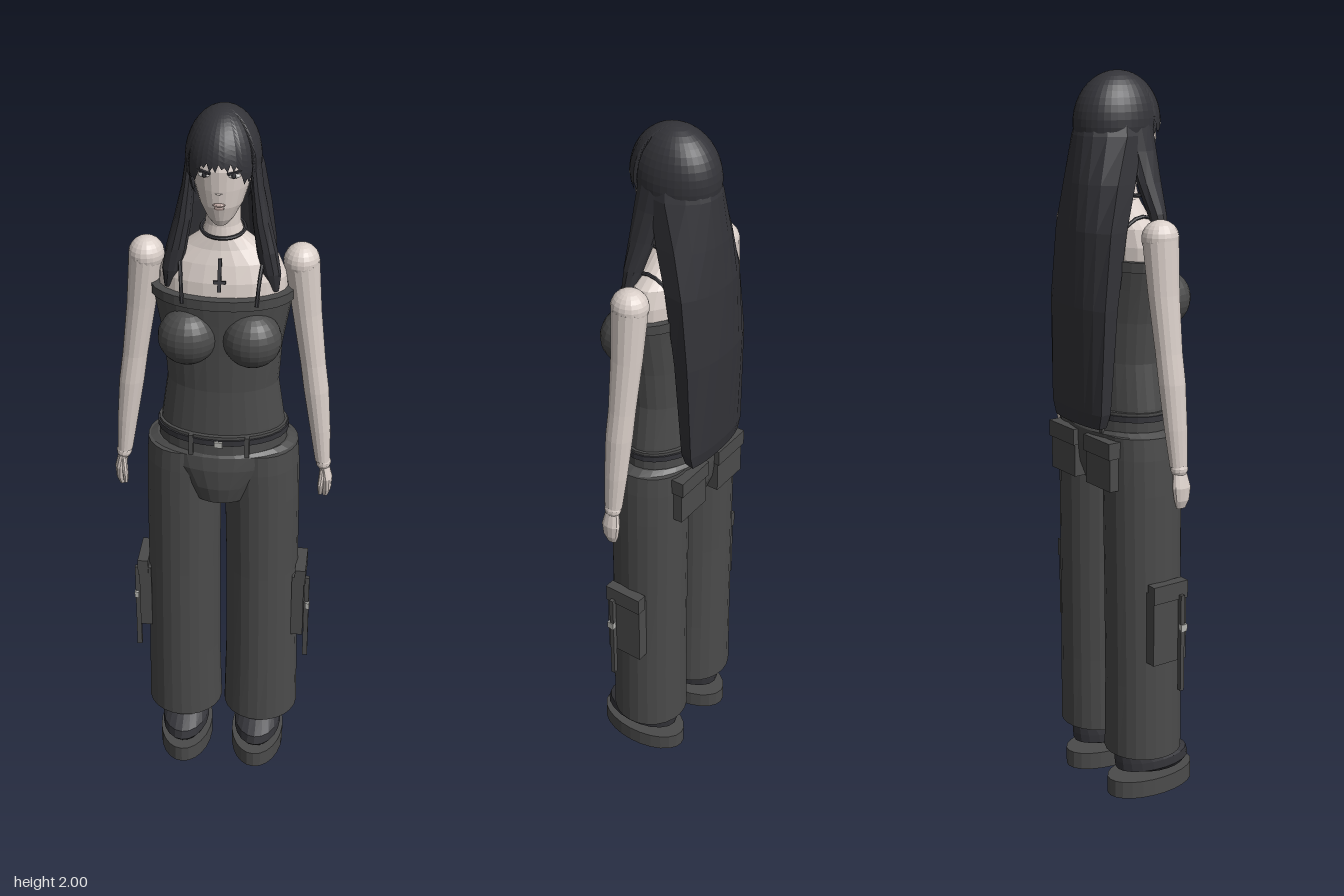
import * as THREE from 'three';

const mat = (name, color, extra = {}) => {
  const m = new THREE.MeshStandardMaterial({ color, flatShading: true, ...extra });
  m.name = name;
  return m;
};

// Joins cross-sections (equal point counts, bottom to top) into a capped solid
function skin(sections) {
  const n = sections[0].length, pos = [], idx = [];
  sections.forEach(s => s.forEach(p => pos.push(...p)));
  for (let r = 0; r < sections.length - 1; r++) {
    for (let i = 0; i < n; i++) {
      const a = r * n + i, b = r * n + (i + 1) % n;
      idx.push(a, a + n, b, b, a + n, b + n);
    }
  }
  [0, sections.length - 1].forEach((r, top) => {
    const c = pos.length / 3;
    pos.push(...[0, 1, 2].map(k => sections[r].reduce((t, p) => t + p[k], 0) / n));
    for (let i = 0; i < n; i++) {
      const a = r * n + i, b = r * n + (i + 1) % n;
      idx.push(c, top ? b : a, top ? a : b);
    }
  });
  const g = new THREE.BufferGeometry();
  g.setAttribute('position', new THREE.Float32BufferAttribute(pos, 3));
  g.setIndex(idx);
  g.computeVertexNormals();
  return g;
}

// Elliptical rings [y, centreX, centreZ, radiusX, radiusZ], bottom to top
function loft(rings, sides = 24, side = 1) {
  return skin(rings.map(([y, cx, cz, rx, rz]) => Array.from({ length: sides }, (_, i) => {
    const a = i / sides * Math.PI * 2;
    return [cx * side + Math.cos(a) * rx, y, cz + Math.sin(a) * rz];
  })));
}

export function createModel() {
  const root = new THREE.Group();
  const flesh = mat('skin', 0xd9cec8);
  const cloth = mat('charcoal cloth', 0x4b4b4b);
  const hair = mat('black hair', 0x333338, { side: THREE.DoubleSide });
  const dark = mat('black leather', 0x35353a);
  const lip = mat('lips', 0xb59f99);
  const white = mat('eye white', 0xe8e6e4);
  const metal = mat('metal', 0xb4b4b0);

  const add = (name, geo, m, x = 0, y = 0, z = 0) => {
    const mesh = new THREE.Mesh(geo, m);
    mesh.name = name;
    mesh.position.set(x, y, z);
    root.add(mesh);
    return mesh;
  };
  const box = (name, m, w, h, d, x, y, z) => add(name, new THREE.BoxGeometry(w, h, d), m, x, y, z);
  const ball = (name, m, rx, ry, rz, x, y, z, seg = 16) =>
    add(name, new THREE.SphereGeometry(1, seg, Math.ceil(seg * 0.7)).scale(rx, ry, rz), m, x, y, z);
  const tube = (name, m, pts, r) => add(name, new THREE.TubeGeometry(
    new THREE.CatmullRomCurve3(pts.map(p => new THREE.Vector3(...p))), 14, r, 6), m);

  // Head, neck and bare shoulders
  add('head', loft([[1.722, 0, .06, .018, .022], [1.738, 0, .05, .034, .04], [1.775, 0, .032, .056, .068],
    [1.82, 0, .02, .07, .082], [1.87, 0, .014, .077, .088], [1.92, 0, 0, .075, .085]]), flesh);
  add('neckAndChest', loft([[1.48, 0, .003, .168, .092], [1.56, 0, 0, .165, .085], [1.605, 0, -.004, .145, .074],
    [1.64, 0, -.004, .095, .06], [1.67, 0, 0, .055, .05], [1.7, 0, 0, .045, .045], [1.78, 0, 0, .043, .043]]), flesh);

  // Face
  add('nose', skin([[[-.011, 1.815, .098], [.011, 1.815, .098], [0, 1.818, .119]].reverse(),
    [[-.004, 1.865, .098], [.004, 1.865, .098], [0, 1.865, .104]].reverse()]), flesh);
  ball('upperLip', lip, .017, .005, .006, 0, 1.785, .1, 10);
  ball('lowerLip', lip, .014, .006, .006, 0, 1.776, .097, 10);

  // Hair cap with a jagged fringe over the face
  const cap = new THREE.SphereGeometry(1, 40, 16);
  const p = cap.attributes.position, uv = cap.attributes.uv;
  for (let i = 0; i < p.count; i++) {
    const phi = uv.getX(i) * Math.PI * 2, f = Math.sin(phi);
    const jag = Math.round(uv.getX(i) * 40) % 2 ? .06 : 0;
    const end = f > .82 ? 1.46 + jag : f > .5 ? 1.78 + jag : 2.35;
    const th = (1 - uv.getY(i)) * end;
    p.setXYZ(i, -Math.cos(phi) * Math.sin(th) * .096, 1.868 + Math.cos(th) * .132, -.009 + f * Math.sin(th) * .122);
  }
  cap.computeVertexNormals();
  add('hairCap', cap, hair);

  // Long hair down the back: curved slab [y, halfWidth, backZ, sideZ, thickness]
  const slab = ([y, w, back, edge, t]) => {
    const row = Array.from({ length: 9 }, (_, i) => 1 - i / 4);
    const z = u => back + (edge - back) * Math.abs(u) ** 2.5;
    return [...row.map(u => [u * w * .94, y, z(u) + t]), ...row.reverse().map(u => [u * w, y, z(u)])];
  };
  add('longHair', skin([[1.08, .105, -.15, -.138, .028], [1.12, .118, -.157, -.14, .035], [1.4, .13, -.166, -.135, .045],
    [1.6, .128, -.16, -.115, .055], [1.72, .116, -.149, -.085, .06], [1.84, .1, -.132, -.045, .05],
    [1.91, .08, -.11, -.035, .04]].map(slab)), hair);

  // Choker and pendant cross
  const choker = add('choker', new THREE.TorusGeometry(.056, .005, 6, 28).rotateX(Math.PI / 2), dark, 0, 1.682, .002);
  choker.rotation.x = .12;
  const cross = new THREE.Group();
  cross.name = 'pendant';
  [[.009, .085, 0], [.032, .008, -.018]].forEach(([w, h, y]) => {
    const bar = new THREE.Mesh(new THREE.BoxGeometry(w, h, .008), dark);
    bar.name = 'pendantBar';
    bar.position.y = y;
    cross.add(bar);
  });
  cross.position.set(0, 1.588, .089);
  cross.rotation.x = -.3;
  root.add(cross);

  // Fitted top
  add('bodice', loft([[1.07, 0, 0, .172, .106], [1.13, 0, 0, .166, .103], [1.25, 0, 0, .149, .098], [1.36, 0, .002, .156, .1],
    [1.45, 0, .004, .172, .103], [1.505, 0, .005, .182, .106]], 28), cloth);
  add('bodiceRim', loft([[1.498, 0, .005, .186, .109], [1.525, 0, .005, .187, .109]], 28), cloth);

  // Trouser yoke, belt and buckle
  add('trouserYoke', loft([[.91, 0, .008, .1, .105], [.96, 0, .005, .13, .12], [1.02, 0, .003, .18, .125],
    [1.06, 0, 0, .2, .122], [1.07, 0, 0, .18, .116]], 28), cloth);
  add('waistband', loft([[1.055, 0, 0, .174, .119], [1.122, 0, 0, .174, .115]], 28), cloth);
  add('belt', loft([[1.098, 0, 0, .178, .121], [1.114, 0, 0, .178, .121]], 28), dark);
  box('buckle', metal, .022, .016, .008, 0, 1.105, .124);

  for (const s of [-1, 1]) {
    // Eyes, lashes and brows
    ball('eye', white, .016, .007, .004, s * .036, 1.862, .095, 10);
    ball('iris', dark, .006, .007, .003, s * .036, 1.862, .098, 8);
    const lash = box('lashes', dark, .036, .005, .007, s * .038, 1.87, .096);
    lash.rotation.set(0, s * .4, s * .12);
    ball('ear', flesh, .008, .026, .016, s * .076, 1.84, 0, 10);

    // Front lock of hair
    add('frontLock', loft([[1.53, .137, .042, .01, .01], [1.58, .127, .044, .025, .018], [1.64, .115, .038, .027, .026],
      [1.72, .098, .024, .023, .036], [1.8, .087, .012, .016, .042], [1.88, .078, 0, .014, .045]], 10, s), hair);

    // Bust cup and shoulder straps
    ball('bustCup', cloth, .077, .076, .07, s * .084, 1.408, .084, 20);
    tube('shoulderStrap', dark, [[s * .095, 1.51, .1], [s * .1, 1.57, .08], [s * .108, 1.625, .03],
      [s * .11, 1.632, -.02], [s * .1, 1.58, -.075], [s * .095, 1.51, -.1]], .005);

    // Arm and hand
    ball('shoulder', flesh, .047, .047, .05, s * .2, 1.592, -.012, 18);
    add('arm', loft([[1.0, .272, 0, .021, .025], [1.1, .262, -.003, .028, .032], [1.22, .248, -.006, .034, .037],
      [1.3, .237, -.009, .034, .037], [1.45, .217, -.012, .039, .043], [1.59, .201, -.012, .046, .049]], 16, s), flesh);
    ball('wrist', flesh, .021, .022, .024, s * .275, .992, 0, 12);
    add('hand', loft([[.888, .283, 0, .008, .014], [.91, .286, 0, .013, .023], [.945, .285, 0, .016, .028],
      [.985, .277, 0, .014, .02]], 12, s), flesh);
    add('thumb', loft([[.9, .27, .022, .006, .006], [.93, .27, .024, .008, .008], [.975, .275, .012, .009, .01]], 8, s), flesh);

    // Wide trouser leg
    add('trouserLeg', loft([[.135, .112, .002, .108, .108], [.35, .113, .002, .104, .107], [.65, .111, 0, .102, .107],
      [.9, .108, 0, .103, .109], [1.0, .106, 0, .103, .11], [1.06, .104, 0, .101, .108]], 24, s), cloth);

    // Belt loops and seat pockets
    box('beltLoop', cloth, .012, .06, .012, s * .075, 1.092, .107);
    box('beltLoop', cloth, .012, .06, .012, s * .075, 1.092, -.107);
    box('seatPocket', cloth, .115, .1, .04, s * .085, .965, -.109);
    box('seatPocketFlap', cloth, .122, .045, .044, s * .085, 1.028, -.113);

    // Cargo pocket with flap, hanging strap and clip
    box('cargoPocket', cloth, .034, .205, .108, s * .218, .53, .004);
    box('cargoFlap', cloth, .03, .05, .112, s * .224, .632, .004);
    box('cargoStrap', cloth, .014, .28, .012, s * .243, .48, .036);
    box('strapClip', metal, .012, .02, .02, s * .246, .525, .04);

    // Platform shoe
    add('shoeSole', loft([[0, .107, .03, .076, .136], [.05, .107, .03, .076, .136]], 24, s), cloth);
    add('shoeUpper', loft([[.06, .108, .055, .055, .085], [.075, .108, .037, .068, .117], [.1, .108, .032, .068, .115],
      [.125, .108, .005, .06, .088], [.2, .108, -.012, .05, .065]], 20, s), dark);
  }
  return root;
}
